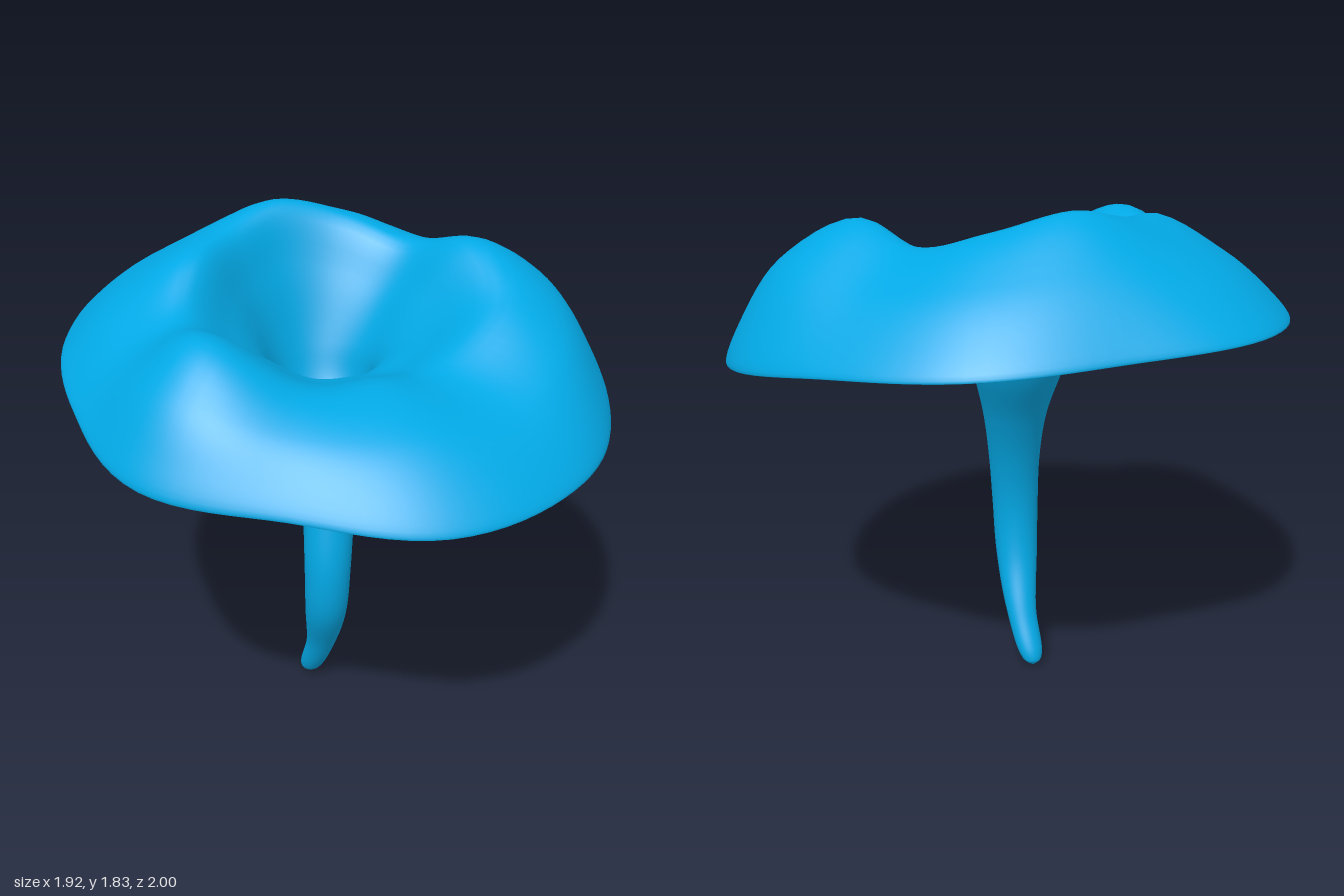
import * as THREE from 'three';

const SIDES = 96, STEPS = 6;

// Smooth periodic lookup in a table of evenly spaced directions (+x towards +z)
function around(table, a) {
  const n = table.length, f = (a / (Math.PI * 2)) * n, i = Math.floor(f), t = f - i;
  const [p, q, r, s] = [-1, 0, 1, 2].map((k) => table[(i + k + n) % n]);
  return q + 0.5 * t * (r - p + t * (2 * p - 5 * q + 4 * r - s + t * (3 * (q - r) + s - p)));
}

// Every 30 degrees: rim radius and height, crest radius and height
const RIM = [0.96, 1.02, 1.0, 1.0, 0.99, 0.9, 0.96, 0.91, 0.95, 1.0, 0.93, 0.98];
const RIM_Y = [1.373, 1.28, 1.205, 1.19, 1.187, 1.23, 1.265, 1.345, 1.412, 1.46, 1.458, 1.433];
const CREST = [0.5, 0.55, 0.58, 0.46, 0.47, 0.55, 0.62, 0.52, 0.46, 0.45, 0.48, 0.49];
const CREST_Y = [1.7, 1.755, 1.62, 1.47, 1.49, 1.51, 1.66, 1.61, 1.74, 1.775, 1.83, 1.77];

// Curved hollow stem: centre x, y, centre z, radius
const STEM = [
  [0.04, 0, -0.12, 0],
  [0.035, 0.03, -0.11, 0.037],
  [0.0, 0.2, -0.03, 0.057],
  [-0.06, 0.4, 0.04, 0.078],
  [-0.073, 0.6, 0.058, 0.086],
  [-0.045, 0.8, 0.04, 0.095],
  [0.005, 1.0, -0.003, 0.117],
  [0.06, 1.2, -0.06, 0.163],
  [0.07, 1.34, -0.075, 0.193],
];

// One rib of the trumpet, from stem tip through throat and crest to the rim
function rib(a) {
  const c = Math.cos(a), s = Math.sin(a);
  const points = STEM.map(([x, y, z, r]) => new THREE.Vector3(x + r * c, y, z + r * s));
  const polar = (r, y) => new THREE.Vector3(r * c, y, r * s);
  const rim = around(RIM, a), rimY = around(RIM_Y, a);
  const crest = around(CREST, a), crestY = around(CREST_Y, a);
  const throat = points[points.length - 1];
  const crestPoint = polar(crest, crestY);
  const slope = throat.clone().lerp(crestPoint, 0.46);
  slope.y = throat.y + 0.57 * (crestY - throat.y);
  const dome = (t, k) => polar(crest + (rim - crest) * t, rimY + (crestY - rimY) * k);
  points.push(
    slope,
    crestPoint,
    dome(0.55, 0.7 + 0.08 * s),
    dome(0.87, 0.28 + 0.05 * s),
    polar(rim, rimY),
    polar(rim - 0.025, rimY - 0.002), // thin lip turned under
  );
  return new THREE.CatmullRomCurve3(points);
}

// Skin the ribs into one closed-round surface
function trumpetGeometry() {
  const rows = (STEM.length + 5) * STEPS;
  const position = [], index = [], p = new THREE.Vector3();
  for (let j = 0; j < SIDES; j++) {
    const curve = rib((j / SIDES) * Math.PI * 2);
    for (let i = 0; i <= rows; i++) position.push(...curve.getPoint(i / rows, p).toArray());
  }
  for (let j = 0; j < SIDES; j++) {
    const here = j * (rows + 1), next = ((j + 1) % SIDES) * (rows + 1);
    for (let i = 0; i < rows; i++) {
      index.push(here + i, here + i + 1, next + i);
      index.push(next + i, here + i + 1, next + i + 1);
    }
  }
  const geometry = new THREE.BufferGeometry();
  geometry.setAttribute('position', new THREE.Float32BufferAttribute(position, 3));
  geometry.setIndex(index);
  geometry.computeVertexNormals();
  return geometry;
}

export function createModel() {
  const group = new THREE.Group();
  group.name = 'trumpetMushroom';
  const material = new THREE.MeshStandardMaterial({ color: 0x02a9e6, side: THREE.DoubleSide });
  const mesh = new THREE.Mesh(trumpetGeometry(), material);
  mesh.name = 'capAndStem';
  group.add(mesh);
  return group;
}
